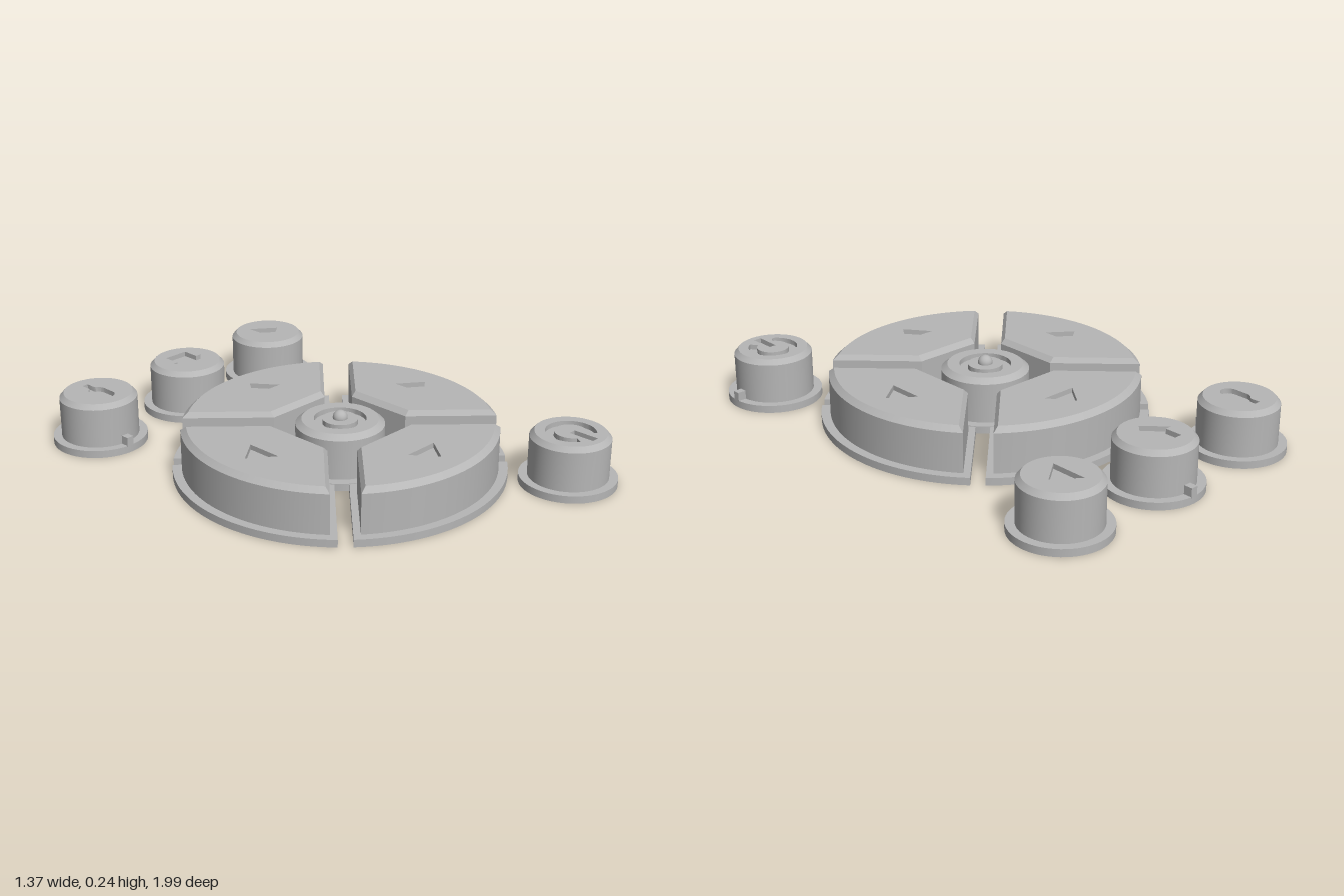
import * as THREE from 'three';
import { toCreasedNormals } from 'three/addons/utils/BufferGeometryUtils.js';

const grey = new THREE.MeshStandardMaterial({ color: 0xb6b6b6 });
grey.name = 'plain grey';

const FLANGE = 0.03, SHOULDER = 0.19, TOP = 0.21, ENGRAVE = 0.19, SOCKET = 0.12;

// Outline helpers: loops of Vector2 (x, z), all wound the same way
const loop = pairs => {
  const pts = pairs.map(([x, z]) => new THREE.Vector2(x, z));
  return THREE.ShapeUtils.isClockWise(pts) ? pts.reverse() : pts;
};
const arc = (r, a0, a1, n, cx = 0, cz = 0) => Array.from({ length: n + 1 }, (_, i) => {
  const a = a0 + (a1 - a0) * i / n;
  return [cx + r * Math.cos(a), cz + r * Math.sin(a)];
});
const circle = (r, n = 64, cx = 0) => loop(arc(r, 0, Math.PI * 2, n, cx).slice(0, n));

// Quarter-ring outline facing +x, with sides parallel to the diagonals
function sector(inner, gap, outer, roundInner) {
  const a = Math.PI / 4 - Math.asin(gap / outer);
  const b = Math.PI / 4 - Math.asin(gap / inner);
  const h = inner - gap * Math.SQRT2;
  const inside = roundInner ? arc(inner, b, -b, 16) : [[inner, h], [inner, -h]];
  return loop([...arc(outer, -a, a, 32), ...inside]);
}

// Collects walls and flat faces into one geometry
class Shell {
  constructor() { this.p = []; }
  wall(low, y0, high, y1, outward = true) {
    low.forEach((a, i) => {
      const j = (i + 1) % low.length;
      const A = [a.x, y0, a.y], B = [low[j].x, y0, low[j].y];
      const C = [high[j].x, y1, high[j].y], D = [high[i].x, y1, high[i].y];
      this.p.push(...(outward ? [A, D, B, B, D, C] : [A, B, D, B, C, D]).flat());
    });
  }
  flat(outline, holes, y, up = true) {
    const all = [outline, ...holes].flat();
    for (const [i, j, k] of THREE.ShapeUtils.triangulateShape(outline, holes)) {
      const a = all[i], b = all[j], c = all[k];
      const facesDown = (b.x - a.x) * (c.y - a.y) - (b.y - a.y) * (c.x - a.x) > 0;
      const order = facesDown === up ? [a, c, b] : [a, b, c];
      order.forEach(v => this.p.push(v.x, y, v.y));
    }
  }
  mesh(name) {
    let g = new THREE.BufferGeometry();
    g.setAttribute('position', new THREE.Float32BufferAttribute(this.p, 3));
    g = toCreasedNormals(g, 0.5);
    const m = new THREE.Mesh(g, grey);
    m.name = name;
    return m;
  }
}

// Flanged key with a chamfered top, sunken symbols and a hexagonal socket below
function key(name, { flange, body, top, symbols, island, socketX = 0 }) {
  const s = new Shell();
  const socket = circle(0.078, 6, socketX);
  s.flat(flange, [socket], 0, false);
  s.wall(socket, 0, socket, SOCKET, false);
  s.flat(socket, [], SOCKET, false);
  s.wall(flange, 0, flange, FLANGE);
  s.flat(flange, [body], FLANGE);
  s.wall(body, FLANGE, body, SHOULDER);
  s.wall(body, SHOULDER, top, TOP);
  s.flat(top, symbols, TOP);
  for (const symbol of symbols) {
    s.wall(symbol, ENGRAVE, symbol, TOP, false);
    s.flat(symbol, island ? [island] : [], ENGRAVE);
  }
  if (island) {
    s.wall(island, ENGRAVE, island, TOP);
    s.flat(island, [], TOP);
  }
  return s.mesh(name);
}

// Small round key with a locating tab on the flange at the given angle
function roundKey(name, x, z, symbols, tabAngle) {
  const g = new THREE.Group();
  g.name = name;
  g.position.set(x, 0, z);
  g.add(key(name + 'Cap', { flange: circle(0.19), body: circle(0.156), top: circle(0.138), symbols }));
  if (tabAngle !== undefined) {
    const pivot = new THREE.Group();
    pivot.name = 'locatingTab';
    const tab = new THREE.Mesh(new THREE.BoxGeometry(0.04, 0.04, 0.03), grey);
    tab.name = 'tab';
    tab.position.set(0.17, 0.045, 0);
    pivot.rotation.y = tabAngle;
    pivot.add(tab);
    g.add(pivot);
  }
  return g;
}

export function createModel() {
  const model = new THREE.Group();
  model.name = 'remoteKeys';
  const Q = Math.PI / 2;

  // Directional pad: four quarter keys around a centre key
  const pad = new THREE.Group();
  pad.name = 'directionPad';
  pad.position.set(-0.02, 0, 0.083);
  ['rightKey', 'backKey', 'leftKey', 'frontKey'].forEach((name, i) => {
    const k = key(name, {
      flange: sector(0.216, 0.028, 0.652, true),
      body: sector(0.22, 0.055, 0.616),
      top: sector(0.24, 0.07, 0.594),
      symbols: [loop([[0.408, -0.073], [0.408, 0.073], [0.506, 0]])],
      socketX: 0.46,
    });
    k.rotation.y = i * Q;
    pad.add(k);
  });
  pad.add(key('centreKey', {
    flange: circle(0.211), body: circle(0.174), top: circle(0.15),
    symbols: [circle(0.102)], island: circle(0.069),
  }));
  const bump = new THREE.Mesh(new THREE.SphereGeometry(0.029, 24, 16), grey);
  bump.name = 'centreBump';
  bump.position.y = 0.214;
  pad.add(bump);
  model.add(pad);

  // Back row: bottle, down arrow and triangle symbols
  const bottle = loop([[-0.013, -0.085], [0.013, -0.085], [0.013, -0.042],
    ...arc(0.035, -1.1, 0, 6, 0, -0.005), ...arc(0.035, 0, Math.PI, 12, 0, 0.05),
    ...arc(0.035, Math.PI, Math.PI + 1.1, 6, 0, -0.005), [-0.013, -0.042]]);
  const arrow = loop([[-0.053, -0.074], [0.053, -0.074], [0.053, -0.003], [0.08, -0.003],
    [0, 0.08], [-0.08, -0.003], [-0.053, -0.003]]);
  const triangle = loop([[-0.037, -0.074], [0.06, 0], [-0.037, 0.074]]);
  model.add(roundKey('bottleKey', -0.496, -0.808, [bottle], -Q));
  model.add(roundKey('arrowKey', -0.02, -0.808, [arrow], Q));
  model.add(roundKey('playKey', 0.455, -0.808, [triangle], -Q));

  // Front key: open ring and bar
  const ring = loop([...arc(0.098, Q + 0.6, Q * 5 - 0.6, 40), ...arc(0.064, Q * 5 - 0.6, Q + 0.6, 40)]);
  const bar = loop([[-0.016, 0.005], [0.016, 0.005], [0.016, 0.11], [-0.016, 0.11]]);
  model.add(roundKey('powerKey', 0.492, 0.8, [ring, bar], 0));
  return model;
}
